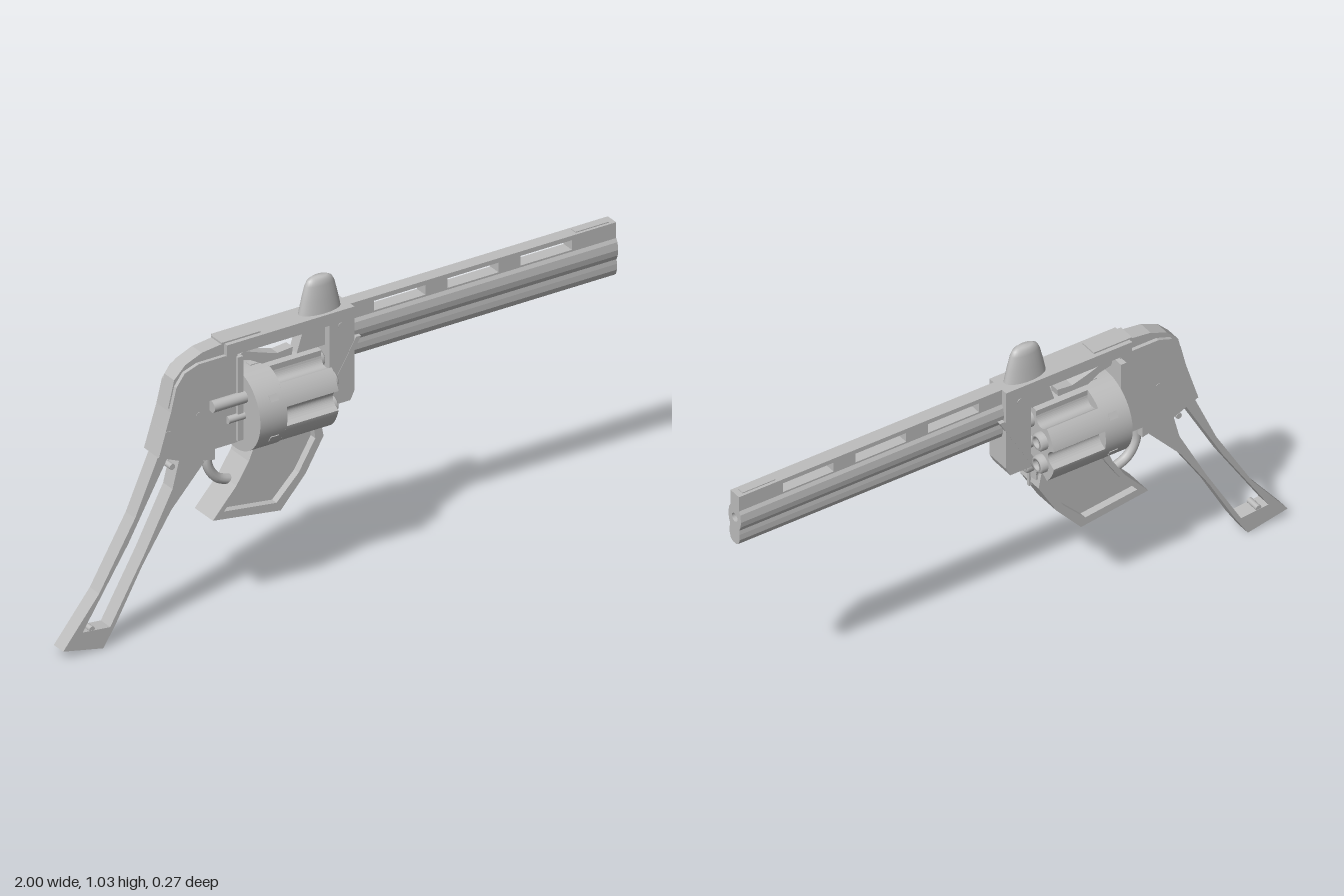
import * as THREE from 'three';

export function createModel() {
  const root = new THREE.Group();
  const steel = new THREE.MeshStandardMaterial({ color: 0xbdbdbd, side: THREE.DoubleSide });
  steel.name = 'steel grey';

  const add = (name, geo, x = 0, y = 0, z = 0, parent = root) => {
    const m = new THREE.Mesh(geo, steel);
    m.name = name;
    m.position.set(x, y, z);
    parent.add(m);
    return m;
  };
  const vec = (pts) => pts.map(([x, y]) => new THREE.Vector2(x, y));
  // side outline in x and y, extruded from z0 to z1
  const plate = (name, pts, z0, z1, holes = []) => {
    const shape = new THREE.Shape(vec(pts));
    holes.forEach((h) => shape.holes.push(new THREE.Path(vec(h))));
    const geo = new THREE.ExtrudeGeometry(shape, { depth: z1 - z0, bevelEnabled: false, curveSegments: 8 });
    return add(name, geo, 0, 0, z0);
  };
  const box = (name, x0, x1, y0, y1, z0, z1) =>
    add(name, new THREE.BoxGeometry(x1 - x0, y1 - y0, z1 - z0), (x0 + x1) / 2, (y0 + y1) / 2, (z0 + z1) / 2);
  // round rod along x
  const rod = (name, x0, x1, y, z, r, parent = root) =>
    add(name, new THREE.CylinderGeometry(r, r, x1 - x0, 20).rotateZ(-Math.PI / 2), (x0 + x1) / 2, y, z, parent);
  const rect = (x0, x1, y0, y1) => [[x0, y0], [x1, y0], [x1, y1], [x0, y1]];

  // barrel: rounded upper tube, waist and lug, with a bore through it
  const half = [[0.02, 0.866], [0.03, 0.85], [0.034, 0.825], [0.031, 0.805], [0.025, 0.79],
    [0.027, 0.775], [0.027, 0.755], [0.021, 0.738], [0.01, 0.73]];
  const section = new THREE.Shape(vec([...half, ...half.map(([x, y]) => [-x, y]).reverse()]));
  section.holes.push(new THREE.Path().absarc(0, 0.825, 0.015, 0, Math.PI * 2, true));
  add('barrel', new THREE.ExtrudeGeometry(section, { depth: 0.965, bevelEnabled: false }).rotateY(Math.PI / 2), 0.035);
  // ventilated rib
  plate('barrelRib', rect(0.035, 1, 0.86, 0.915), -0.023, 0.023,
    [0.125, 0.39, 0.655].map((x) => rect(x, x + 0.185, 0.867, 0.9)));
  box('frontSight', 0.86, 0.98, 0.914, 0.918, -0.013, 0.013);

  // frame
  plate('rearFrame', [[-0.38, 0.877], [-0.52, 0.877], [-0.57, 0.86], [-0.6, 0.82], [-0.62, 0.74],
    [-0.665, 0.6], [-0.57, 0.56], [-0.46, 0.535], [-0.46, 0.572], [-0.38, 0.572]], -0.04, 0.04);
  plate('backStrap', [[-0.3, 0.915], [-0.42, 0.915], [-0.5, 0.905], [-0.56, 0.88], [-0.6, 0.84],
    [-0.622, 0.75], [-0.605, 0.75], [-0.59, 0.82], [-0.56, 0.855], [-0.51, 0.872], [-0.3, 0.877]], -0.027, 0.027);
  box('topStrap', -0.42, 0.04, 0.875, 0.915, -0.045, 0.045);
  box('rearSight', -0.43, -0.29, 0.912, 0.92, -0.03, 0.03);
  plate('frontFrame', [[-0.05, 0.88], [0.04, 0.88], [0.04, 0.63], [0.025, 0.6], [-0.05, 0.6]], -0.045, 0.045);
  plate('frameBrace', [[-0.175, 0.73], [-0.12, 0.9], [-0.04, 0.9], [-0.04, 0.8], [-0.07, 0.8], [-0.09, 0.78]], -0.02, 0.02);
  plate('craneArm', [[0.045, 0.81], [0.063, 0.81], [-0.065, 0.585], [-0.08, 0.6]], -0.046, 0.046);
  box('recoilShield', -0.385, -0.365, 0.58, 0.865, -0.066, 0.05);
  box('craneTab', -0.09, -0.07, 0.495, 0.56, -0.006, 0.006);
  for (const [x, y] of [[-0.52, 0.705], [-0.01, 0.865]]) {
    const pin = add('framePin', new THREE.CylinderGeometry(0.009, 0.009, 0.094, 12), x, y, 0);
    pin.rotation.x = Math.PI / 2;
    if (x < -0.1) pin.scale.y = 0.88;
  }
  rod('latchRod', -0.48, -0.35, 0.725, 0.05, 0.019);
  rod('ejectorPin', -0.42, -0.35, 0.66, 0.045, 0.012);

  // rounded lump standing on the top strap
  const lump = add('topPost', new THREE.LatheGeometry(
    vec([[0.076, 0.905], [0.064, 0.96], [0.052, 1.006], [0.043, 1.022], [0.028, 1.03], [0, 1.032]]), 32), -0.058);
  lump.scale.z = 0.45;

  // hammer
  plate('hammer', [[-0.37, 0.85], [-0.34, 0.86], [-0.27, 0.835], [-0.22, 0.82], [-0.165, 0.825],
    [-0.17, 0.79], [-0.26, 0.79], [-0.32, 0.825], [-0.36, 0.835]], -0.018, 0.018);

  // cylinder: plain rear drum, fluted front, six chamber tubes
  const drum = new THREE.Group();
  drum.name = 'cylinder';
  drum.position.set(0, 0.665, 0);
  root.add(drum);
  rod('drumRear', -0.36, -0.262, 0, 0, 0.136, drum).geometry =
    new THREE.CylinderGeometry(0.136, 0.136, 0.098, 60).rotateZ(-Math.PI / 2);
  const fluted = [];
  for (let i = 0; i < 180; i++) {
    const a = (i / 180) * Math.PI * 2;
    const off = Math.abs(((i + 15) % 30) - 15) / 7;
    const r = 0.136 - (off < 1 ? 0.036 * Math.sqrt(1 - off * off) : 0);
    fluted.push([r * Math.cos(a), r * Math.sin(a)]);
  }
  add('drumFlutes', new THREE.ExtrudeGeometry(new THREE.Shape(vec(fluted)),
    { depth: 0.19, bevelEnabled: false }).rotateY(Math.PI / 2), -0.265, 0, 0, drum);
  const tube = vec([[0.017, -0.03], [0.017, 0.02], [0.024, 0.02], [0.03, 0.014], [0.03, -0.03]]);
  for (let i = 0; i < 6; i++) {
    const a = Math.PI / 6 + (i * Math.PI) / 3;
    const y = 0.084 * Math.sin(a), z = 0.084 * Math.cos(a);
    add('chamber', new THREE.LatheGeometry(tube, 20).rotateZ(-Math.PI / 2), -0.072, y, z, drum);
    rod('chamberCore', -0.1, -0.062, y, z, 0.011, drum);
    // locking notch near the rear of the drum
    const notch = add('stopNotch', new THREE.BoxGeometry(0.03, 0.006, 0.022), -0.3,
      0.135 * Math.sin(a), 0.135 * Math.cos(a), drum);
    notch.rotation.x = Math.PI / 2 - a;
  }
  rod('cylinderAxle', -0.4, -0.04, 0, 0, 0.025, drum);

  // skeleton grip
  plate('grip', [[-0.655, 0.6], [-0.74, 0.41], [-0.87, 0.19], [-1, 0.03], [-0.855, 0], [-0.81, 0.07],
    [-0.715, 0.24], [-0.61, 0.4], [-0.49, 0.53], [-0.55, 0.6]], -0.026, 0.026,
  [[[-0.62, 0.588], [-0.58, 0.567], [-0.605, 0.47], [-0.705, 0.28], [-0.83, 0.065], [-0.93, 0.075], [-0.765, 0.33]]]);
  for (const [x, y] of [[-0.605, 0.545], [-0.895, 0.075]]) {
    add('gripPin', new THREE.CylinderGeometry(0.01, 0.01, 0.05, 12), x, y, 0).rotation.x = Math.PI / 2;
  }
  plate('gripStop', [[-0.665, 0.6], [-0.645, 0.6], [-0.62, 0.68], [-0.64, 0.68]], -0.03, 0.042);

  // trigger hook
  const hook = new THREE.CatmullRomCurve3([[-0.465, 0.56], [-0.462, 0.5], [-0.43, 0.45], [-0.37, 0.425]]
    .map(([x, y]) => new THREE.Vector3(x, y, 0)));
  add('trigger', new THREE.TubeGeometry(hook, 16, 0.016, 10));

  // flared lower panel with dished sides
  const panel = [[-0.32, 0.56], [-0.345, 0.5], [-0.39, 0.43], [-0.475, 0.335], [-0.23, 0.3],
    [-0.14, 0.4], [-0.075, 0.51], [-0.085, 0.56]];
  plate('lowerPanelCore', panel, -0.025, 0.025);
  plate('lowerPanelRim', panel, -0.05, 0.05,
    [[[-0.3, 0.55], [-0.325, 0.5], [-0.37, 0.43], [-0.435, 0.355], [-0.245, 0.33], [-0.165, 0.41], [-0.105, 0.51], [-0.11, 0.55]]]);
  return root;
}
